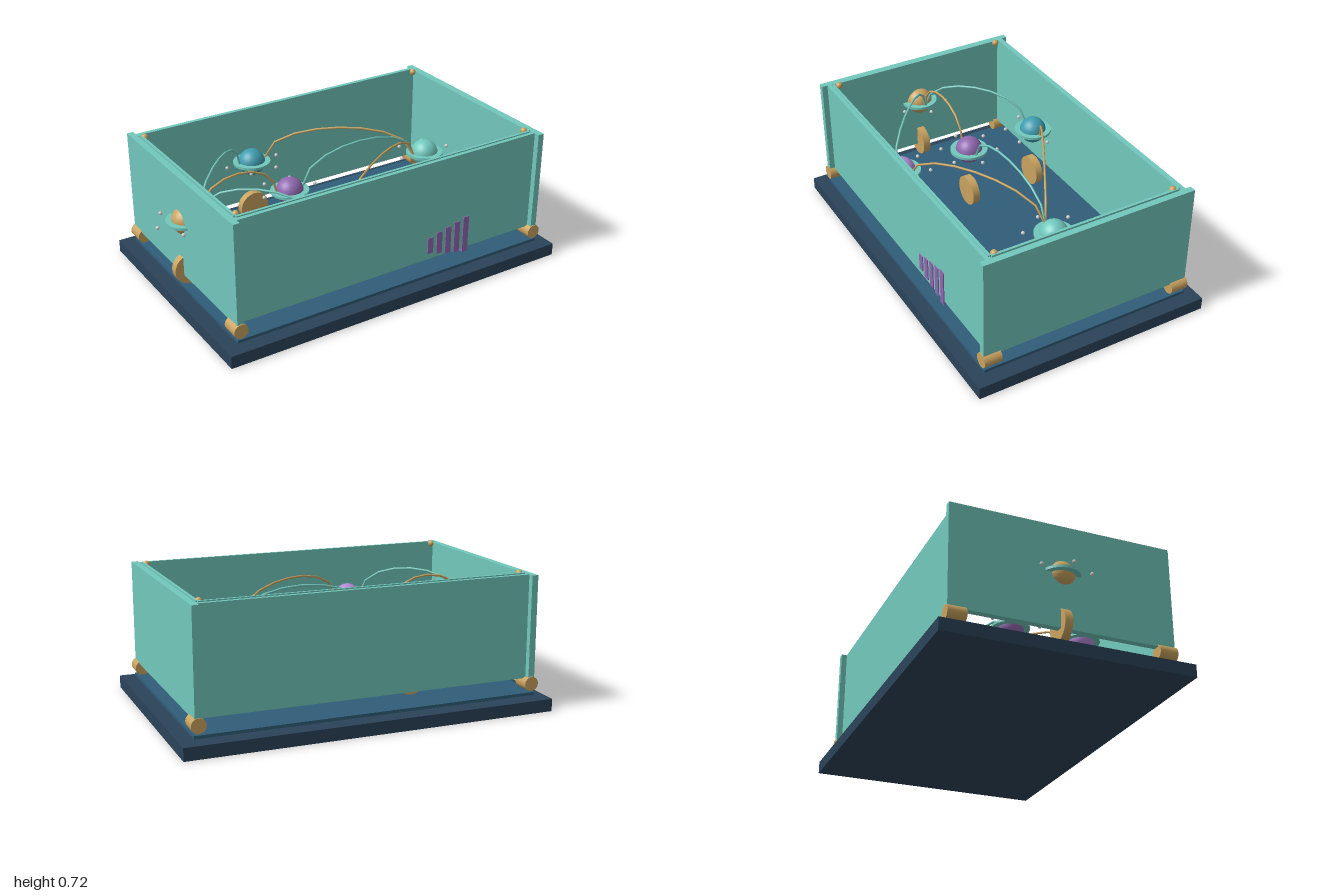
import * as THREE from 'three';

const paint = (color, extra = {}) => new THREE.MeshStandardMaterial({ color, ...extra });

export function createModel() {
  const model = new THREE.Group();
  model.name = 'planetDisplayCase';
  const mint = paint(0x72c8bd), gold = paint(0xc9a360), navy = paint(0x2b4359);
  const blue = paint(0x305d78), purple = paint(0x9068b0), violet = paint(0xb488d6);
  const teal = paint(0x3f9db0), pale = paint(0xcccccc);

  const add = (name, geometry, material, x, y, z, parent = model) => {
    const mesh = new THREE.Mesh(geometry, material);
    mesh.name = name;
    mesh.position.set(x, y, z);
    parent.add(mesh);
    return mesh;
  };
  const box = (name, w, h, d, material, x, y, z) =>
    add(name, new THREE.BoxGeometry(w, h, d), material, x, y, z);

  // Base and floor plate
  box('base', 1.95, 0.066, 1.28, navy, 0.025, 0.033, 0);
  box('floorPlate', 1.81, 0.016, 1.15, blue, 0.025, 0.085, 0);

  // Case walls: the ends overhang the front and back panels
  for (const side of [-1, 1]) {
    const endX = 0.023 + side * 0.884;
    box('endWall', 0.034, 0.542, 1.15, mint, endX, 0.435, 0);
    box('longWall', 1.74, 0.542, 0.03, mint, 0.023, 0.435, side * 0.53);
    box('longRim', 1.71, 0.014, 0.014, mint, 0.023, 0.705, side * 0.517);
    box('endRim', 0.014, 0.014, 1.02, mint, 0.023 + side * 0.856, 0.705, 0);
    // Feet and corner studs
    for (const z of [-1, 1]) {
      const foot = add('foot', new THREE.CylinderGeometry(0.038, 0.038, 0.095, 24), gold, endX, 0.139, z * 0.533);
      foot.rotation.x = Math.PI / 2;
      add('cornerStud', new THREE.SphereGeometry(0.018, 16, 12), gold, 0.023 + side * 0.842, 0.704, z * 0.487);
    }
  }

  // Rising bars through the front panel
  [0.09, 0.123, 0.15, 0.173, 0.203].forEach((h, i) =>
    box('levelBar', 0.034, h, 0.04, purple, 0.244 + i * 0.0555, 0.243, 0.53));

  // Ringed planets, each above an upright disc
  const planetY = 0.455;
  const planets = [
    [-0.842, 0, gold], [-0.253, -0.4, teal], [-0.253, 0, purple], [-0.253, 0.4, violet], [0.6, 0, mint],
  ];
  const ringShape = new THREE.Shape().absarc(0, 0, 0.1, 0, Math.PI * 2);
  ringShape.holes.push(new THREE.Path().absarc(0, 0, 0.065, 0, Math.PI * 2, true));
  const ringGeometry = new THREE.ExtrudeGeometry(ringShape, { depth: 0.014, bevelEnabled: false, curveSegments: 24 });
  ringGeometry.translate(0, 0, -0.007).rotateX(Math.PI / 2);
  for (const [x, z, material] of planets) {
    const group = new THREE.Group();
    group.name = 'planetStation';
    group.position.set(x, 0, z);
    model.add(group);
    add('planet', new THREE.SphereGeometry(0.072, 24, 16), material, 0, planetY, 0, group);
    add('planetRing', ringGeometry, mint, 0, planetY, 0, group);
    const disc = add('disc', new THREE.CylinderGeometry(0.082, 0.082, 0.04, 32), gold, 0, 0.19, 0, group);
    disc.rotation.x = Math.PI / 2;
    for (let i = 0; i < 6; i++) {
      const a = i * Math.PI / 3;
      add('moon', new THREE.SphereGeometry(0.01, 10, 8), pale, Math.cos(a) * 0.15, planetY, Math.sin(a) * 0.15, group);
    }
  }

  // Arched links between planets
  const link = (from, to, material) => {
    const a = new THREE.Vector3(from[0] + 0.075, planetY, from[1]);
    const b = new THREE.Vector3(to[0] - 0.075, planetY, to[1]);
    const lift = new THREE.Vector3(0, 0.23, 0);
    const curve = new THREE.CubicBezierCurve3(a, a.clone().add(lift), b.clone().add(lift), b);
    add('link', new THREE.TubeGeometry(curve, 8, 0.006, 8), material, 0, 0, 0);
  };
  for (const i of [1, 2, 3]) {
    link(planets[0], planets[i], i === 2 ? gold : mint);
    link(planets[i], planets[4], i === 2 ? mint : gold);
  }
  return model;
}
